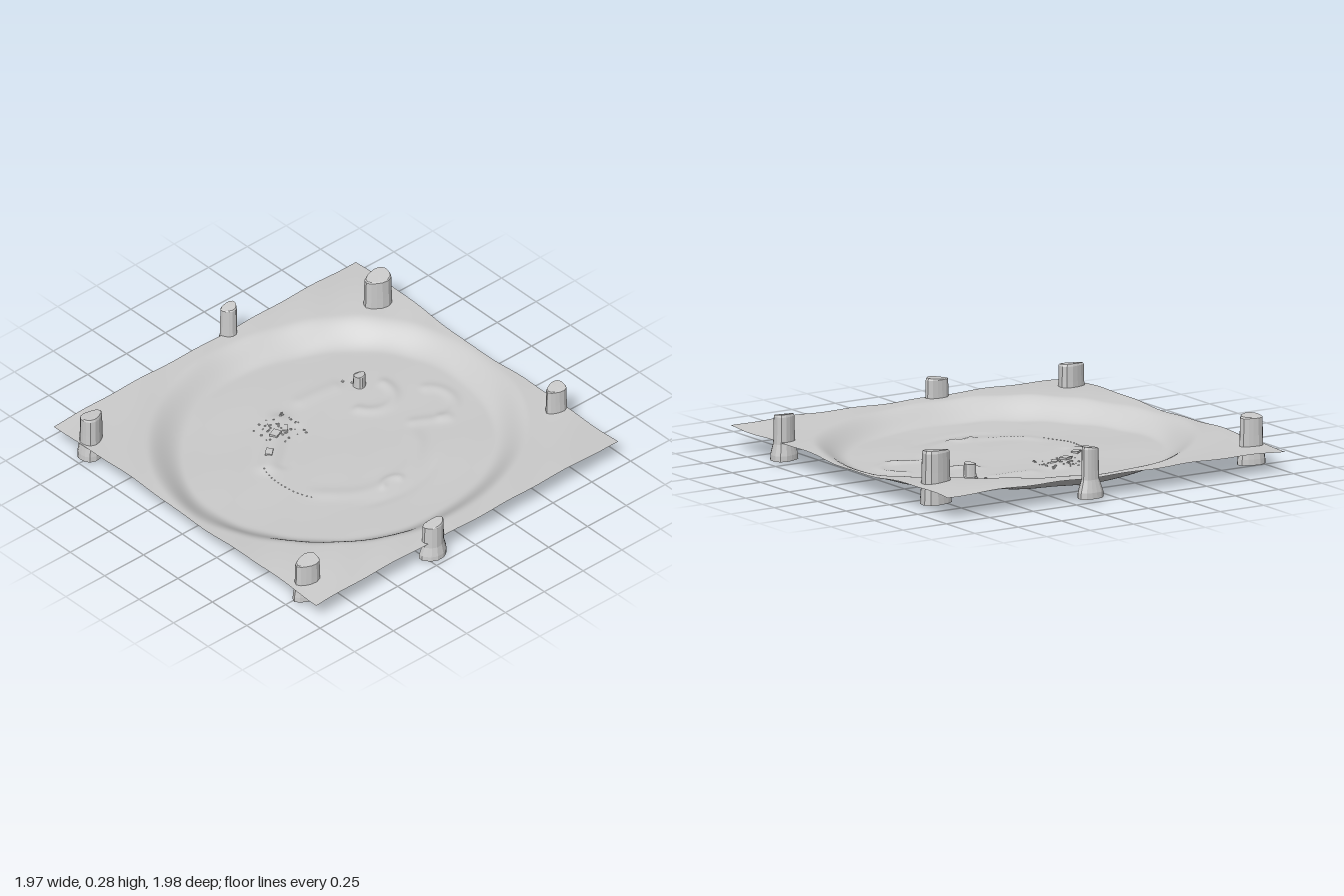
import * as THREE from 'three';

const grey = () => new THREE.MeshStandardMaterial({ color: 0xcccccc, side: THREE.DoubleSide });
const { smoothstep } = THREE.MathUtils;

// Soft bump along a segment, used for ridges and hollows
function ridge(x, z, [x1, z1, x2, z2, width, height]) {
  const dx = x2 - x1, dz = z2 - z1;
  const t = THREE.MathUtils.clamp(((x - x1) * dx + (z - z1) * dz) / (dx * dx + dz * dz), 0, 1);
  const d = Math.hypot(x - x1 - t * dx, z - z1 - t * dz) / width;
  return height * Math.exp(-d * d);
}

// Soft bump along a circular arc
function arc(x, z, [cx, cz, radius, from, to, width, height]) {
  const a = Math.atan2(z - cz, x - cx);
  const fade = smoothstep(a, from, from + 0.4) * (1 - smoothstep(a, to - 0.4, to));
  const d = (Math.hypot(x - cx, z - cz) - radius) / width;
  return height * fade * Math.exp(-d * d);
}

const RIDGES = [
  [-0.36, -0.1, -0.08, -0.34, 0.05, 0.016],
  [-0.3, -0.06, -0.06, -0.24, 0.03, -0.005],
  [0.1, -0.38, 0.3, -0.36, 0.04, 0.006],
  [0.4, 0.1, 0.55, 0.18, 0.03, 0.007],
];
const ARCS = [
  [0.38, -0.2, 0.12, -0.6, 3.1, 0.03, 0.009],
  [0.56, 0.04, 0.12, -1.4, 2.2, 0.03, 0.007],
  [0.0, 0.42, 0.06, -3.1, 0, 0.02, 0.007],
  [0.0, -0.02, 0.4, 0.3, 2.8, 0.04, 0.006],
  [0.0, -0.02, 0.5, 0.8, 2.2, 0.03, -0.004],
];

// Ground height: wavy plateau with a shallow sunken oval basin
function groundHeight(x, z) {
  const angle = Math.atan2(z, x);
  const r = Math.hypot(x / 0.96, (z + 0.005) / 0.88) + 0.008 * Math.sin(5 * angle + 1);
  const wall = smoothstep(r, 0.81, 1.0);
  const rim = 0.109 + 0.007 * Math.sin(4.5 * x + 1.3) * Math.cos(4 * z)
    + 0.007 * Math.sin(6.5 * z - 2.2 * x + 2) - 0.012 * Math.exp(-((x - 0.95) ** 2 + z * z) / 0.1)
    + 0.0025 * Math.sin(17 * (x + z));
  let floor = 0.026 + 0.0022 * Math.sin(14 * x + 19 * z) + 0.0018 * Math.sin(9 * z - 5 * x);
  for (const p of RIDGES) floor += ridge(x, z, p);
  for (const p of ARCS) floor += arc(x, z, p);
  return THREE.MathUtils.lerp(Math.max(floor, 0.018), rim, wall);
}

function makeGround() {
  const geo = new THREE.PlaneGeometry(1.945, 1.905, 150, 150);
  geo.rotateX(-Math.PI / 2).translate(-0.0125, 0.0025, 0.0025);
  const p = geo.attributes.position;
  for (let i = 0; i < p.count; i++) p.setY(i, groundHeight(p.getX(i), p.getZ(i)));
  geo.computeVertexNormals();
  const mesh = new THREE.Mesh(geo, grey());
  mesh.name = 'basinGround';
  return mesh;
}

// Standing stone: rounded triangular section, flared foot, worn top edge
function makeStone(name, x, z, rx, rz, top, bottom, turn, flare) {
  const n = 14, h = top - bottom;
  const rings = [[0, flare], [0.12, flare * 0.98], [0.36, 1.03], [0.6, 1], [0.95, 0.97], [1, 0.88]];
  const pos = [], index = [];
  rings.forEach(([t, s]) => {
    for (let i = 0; i < n; i++) {
      const a = (i / n) * Math.PI * 2;
      const k = s * (1 + 0.09 * Math.cos(3 * a + turn));
      const tilt = t === 1 ? 0.006 * Math.sin(a + turn) - 0.004 : 0;
      pos.push(Math.cos(a) * rx * k, bottom + h * t + tilt, Math.sin(a) * rz * k);
    }
  });
  for (let j = 0; j < rings.length - 1; j++) {
    for (let i = 0; i < n; i++) {
      const a = j * n + i, b = j * n + (i + 1) % n;
      index.push(a, a + n, b, b, a + n, b + n);
    }
  }
  // Caps
  const last = (rings.length - 1) * n;
  pos.push(0, bottom, 0, 0, top - 0.004, 0);
  const c = rings.length * n;
  for (let i = 0; i < n; i++) {
    const k = (i + 1) % n;
    index.push(c, i, k, c + 1, last + k, last + i);
  }
  let geo = new THREE.BufferGeometry();
  geo.setAttribute('position', new THREE.Float32BufferAttribute(pos, 3));
  geo.setIndex(index);
  geo = geo.toNonIndexed();
  geo.computeVertexNormals();
  const mesh = new THREE.Mesh(geo, grey());
  mesh.name = name;
  mesh.position.set(x, 0, z);
  return mesh;
}

// Broken blocks and pebbles half sunk into the floor
function makeRubble() {
  const group = new THREE.Group();
  group.name = 'rubble';
  let seed = 7;
  const rnd = () => (seed = (seed * 16807) % 2147483647) / 2147483647;
  const add = (geo, name, x, z, sx, sy, sz, turn) => {
    const mesh = new THREE.Mesh(geo, grey());
    mesh.name = name;
    mesh.position.set(x, groundHeight(x, z), z);
    mesh.scale.set(sx, sy, sz);
    mesh.rotation.y = turn;
    group.add(mesh);
  };
  const box = new THREE.BoxGeometry(1, 1, 1);
  const pebble = new THREE.IcosahedronGeometry(1, 0);
  add(box, 'fallenBlock', -0.29, -0.17, 0.05, 0.014, 0.035, 0.7);
  add(box, 'fallenBlock', -0.17, -0.26, 0.05, 0.018, 0.04, 0.4);
  add(box, 'fallenBlock', -0.1, -0.27, 0.045, 0.014, 0.03, 0.9);
  for (let i = 0; i < 40; i++) {
    const s = 0.003 + rnd() * 0.004;
    add(pebble, 'pebble', -0.12 + (rnd() - 0.5) * 0.22, -0.28 + (rnd() - 0.5) * 0.2, s, s, s, rnd() * 6);
  }
  for (let i = 0; i < 14; i++) {
    const t = i / 13, a = 2.65 + t * 0.8;
    add(pebble, 'pebble', Math.cos(a) * 0.41, 0.03 + Math.sin(a) * 0.4, 0.004, 0.004, 0.004, i);
  }
  add(pebble, 'pebble', 0.36, -0.37, 0.012, 0.006, 0.008, 1);
  add(pebble, 'pebble', 0.39, -0.33, 0.01, 0.006, 0.01, 2);
  return group;
}

export function createModel() {
  const model = new THREE.Group();
  model.add(makeGround(), makeRubble());
  // x, z, radius x, radius z, top, bottom, section turn, foot flare
  const stones = [
    [0.14, -0.945, 0.044, 0.036, 0.268, 0.015, 1.6, 1.5],
    [-0.92, -0.75, 0.06, 0.045, 0.256, 0.015, 0.3, 1.22],
    [0.83, -0.64, 0.074, 0.053, 0.28, 0.015, 2.6, 1.12],
    [0.918, 0.553, 0.055, 0.041, 0.242, 0.015, 3.0, 1.32],
    [-0.88, 0.775, 0.068, 0.046, 0.23, 0.015, 2.8, 1.18],
    [-0.212, 0.938, 0.061, 0.038, 0.21, 0.015, 1.4, 1.28],
  ];
  for (const s of stones) model.add(makeStone('standingStone', ...s));
  model.add(makeStone('smallStone', 0.4, -0.29, 0.031, 0.028, 0.095, 0.0, 0.5, 1.15));
  return model;
}
